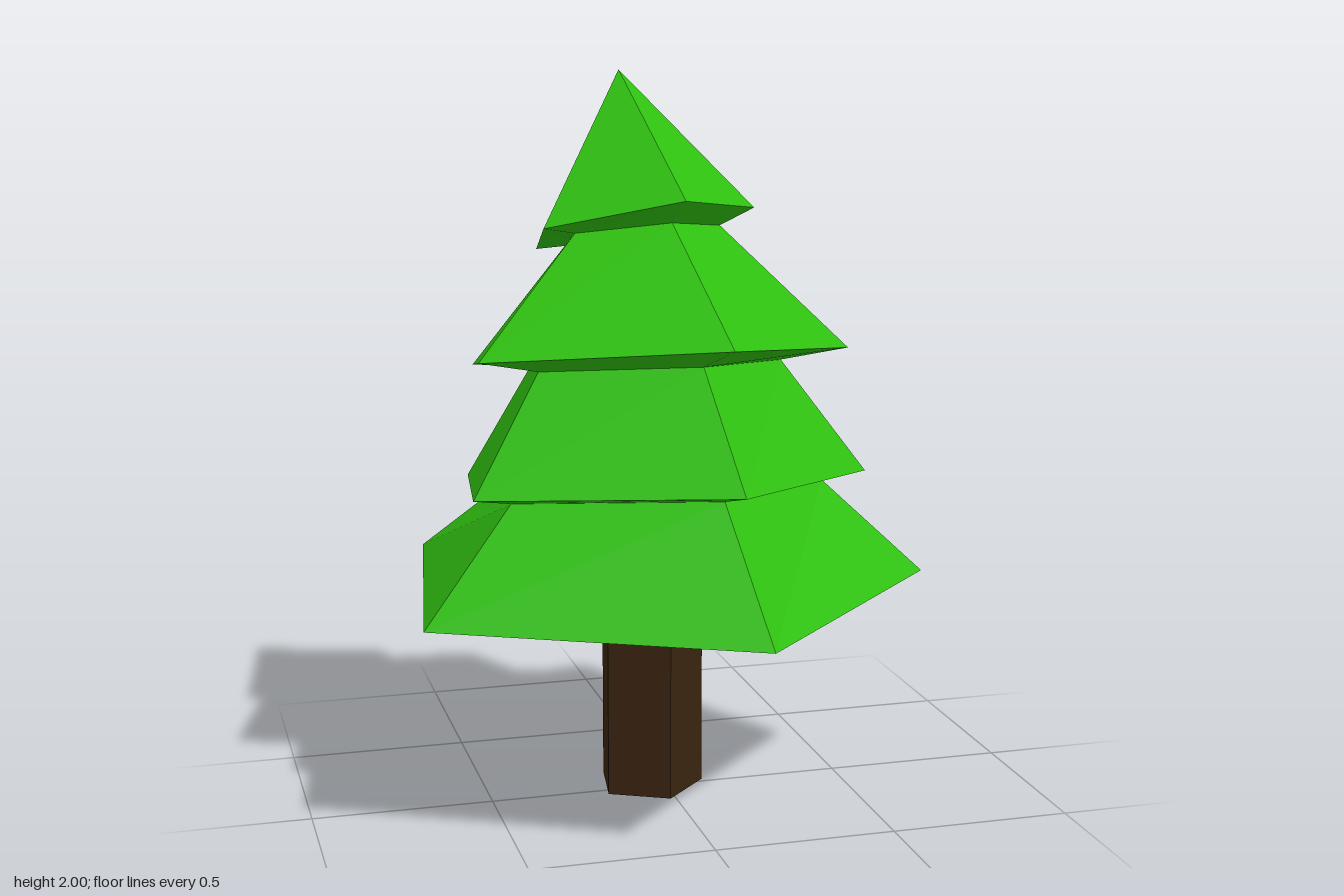
import * as THREE from 'three';

// Irregular five-sided outline shared by every ring: [x, z] around the trunk axis
const OUTLINE = [[-0.55, -0.545], [0.35, -0.695], [0.77, 0.12], [0.125, 0.77], [-0.69, 0.36]];

// Corners of one ring; the tilts raise it along +z and +x
function ring({ x = -0.04, y, z = -0.04, s, tiltZ = 0, tiltX = 0 }) {
  return OUTLINE.map(([px, pz]) => [x + px * s, y + pz * s * tiltZ + px * s * tiltX, z + pz * s]);
}

// Faceted skin through a list of rings, from bottom to top
function loft(name, material, specs) {
  const rings = specs.map(ring);
  const positions = [];
  for (let k = 0; k < rings.length - 1; k++) {
    const lower = rings[k], upper = rings[k + 1];
    for (let i = 0; i < OUTLINE.length; i++) {
      const j = (i + 1) % OUTLINE.length;
      if (specs[k].s > 0) positions.push(...lower[j], ...lower[i], ...upper[i]);
      if (specs[k + 1].s > 0) positions.push(...lower[j], ...upper[i], ...upper[j]);
    }
  }
  const geometry = new THREE.BufferGeometry();
  geometry.setAttribute('position', new THREE.Float32BufferAttribute(positions, 3));
  geometry.computeVertexNormals();
  const mesh = new THREE.Mesh(geometry, material);
  mesh.name = name;
  return mesh;
}

export function createModel() {
  const green = new THREE.MeshStandardMaterial({ color: 0x2fc010, flatShading: true });
  green.name = 'needle green';
  const brown = new THREE.MeshStandardMaterial({ color: 0x3a2410, flatShading: true });
  brown.name = 'bark brown';

  // Wide rim and narrow neck of each tier; the necks tuck under the tier above
  const neck0 = { y: 0.585, s: 0.195 };
  const rim1 = { y: 0.6, s: 1 };
  const neck1 = { y: 0.863, s: 0.625, tiltZ: 0.127 };
  const rim2 = { y: 0.883, s: 0.785, tiltZ: 0.122 };
  const neck2 = { y: 1.2, z: -0.075, s: 0.488, tiltZ: 0.14 };
  const rim3 = { x: -0.042, y: 1.222, z: -0.085, s: 0.738, tiltZ: 0.173 };
  const neck3 = { y: 1.56, z: -0.148, s: 0.293, tiltZ: 0.2, tiltX: 0.04 };
  const rim4 = { x: -0.047, y: 1.58, z: -0.143, s: 0.423, tiltZ: 0.27, tiltX: 0.096 };
  const tip = { x: -0.07, y: 2, z: -0.24, s: 0 };

  const tree = new THREE.Group();
  tree.name = 'pineTree';
  tree.add(
    loft('trunk', brown, [{ y: 0, s: 0 }, { y: 0, s: 0.195 }, neck0]),
    loft('bottomTier', green, [neck0, rim1, neck1]),
    loft('lowerMiddleTier', green, [neck1, rim2, neck2]),
    loft('upperMiddleTier', green, [neck2, rim3, neck3]),
    loft('topTier', green, [neck3, rim4, tip]),
  );
  return tree;
}
